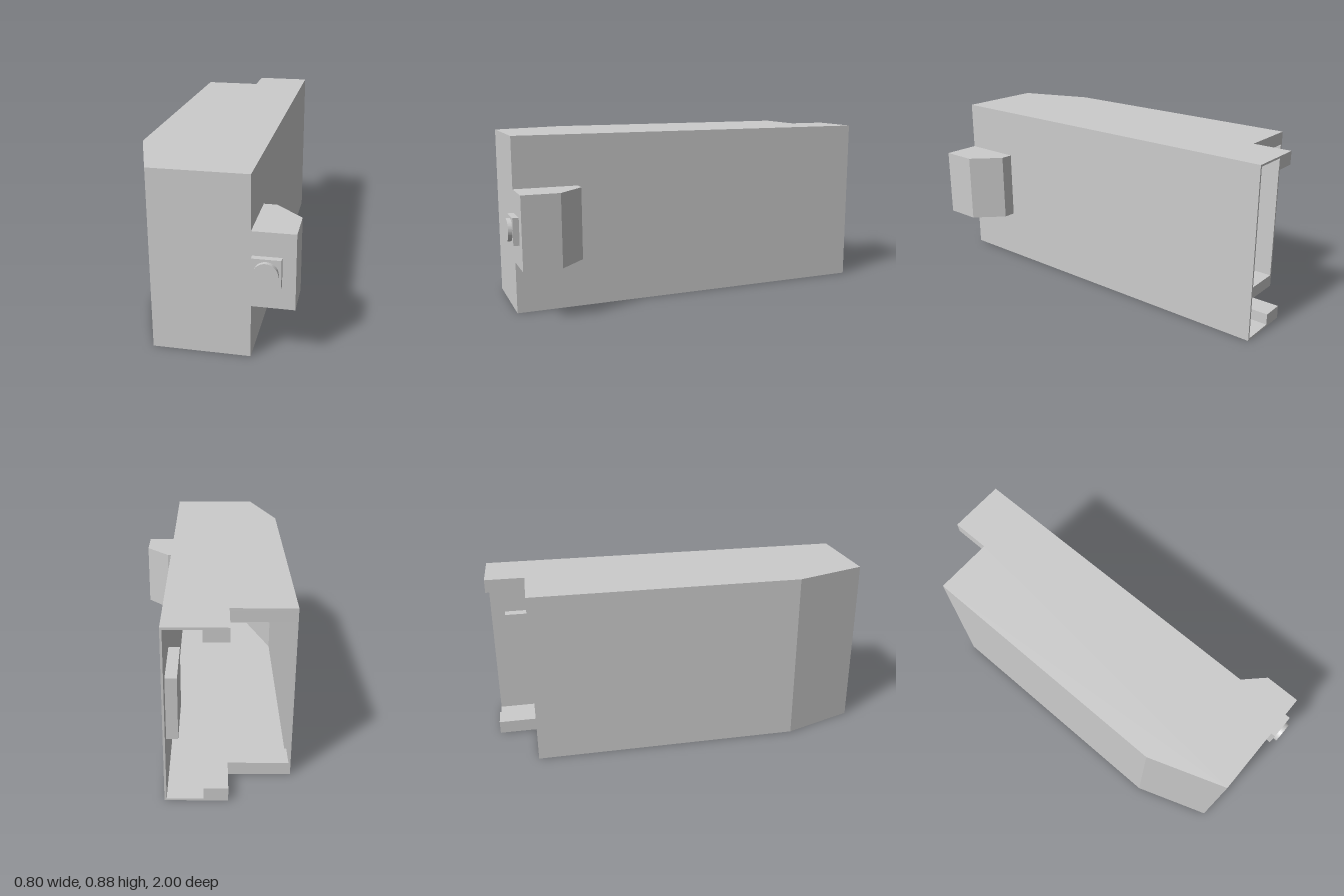
import * as THREE from 'three';

const material = new THREE.MeshStandardMaterial({ color: 0xcccccc, flatShading: true });
const H = 0.885; // housing height
const T = 0.01; // sheet thickness

function add(group, name, geometry) {
  const mesh = new THREE.Mesh(geometry, material);
  mesh.name = name;
  group.add(mesh);
  return mesh;
}

// Vertical prism from a plan outline of [x, z] points between two heights
function prism(points, y0, y1) {
  const shape = new THREE.Shape(points.map(([x, z]) => new THREE.Vector2(x, z)));
  const geometry = new THREE.ExtrudeGeometry(shape, { depth: y1 - y0, bevelEnabled: false });
  return geometry.rotateX(Math.PI / 2).translate(0, y1, 0);
}

// Box given by its minimum and maximum corners
function block([x0, y0, z0], [x1, y1, z1]) {
  return new THREE.BoxGeometry(x1 - x0, y1 - y0, z1 - z0)
    .translate((x0 + x1) / 2, (y0 + y1) / 2, (z0 + z1) / 2);
}

export function createModel() {
  const model = new THREE.Group();
  model.name = 'housing';

  // Top and bottom sheets with a stepped rear edge
  const plan = [
    [-0.4, -0.8], [-0.095, -0.8], [-0.095, -1], [0.2, -1],
    [0.2, 0.95], [-0.265, 0.95], [-0.4, 0.57],
  ];
  add(model, 'bottomPanel', prism(plan, 0, T));
  add(model, 'topPanel', prism(plan, H - T, H));

  // Thin side and front walls, open at the back
  const walls = [
    [0.2, -1], [0.2, 0.95], [-0.265, 0.95], [-0.4, 0.57], [-0.4, -0.8],
    [-0.4 + T, -0.8], [-0.4 + T, 0.568], [-0.258, 0.95 - T], [0.2 - T, 0.95 - T], [0.2 - T, -1],
  ];
  add(model, 'walls', prism(walls, T, H - T));

  // Stiffening lips following the rear step
  const lip = [
    [0.02, -1], [-0.095, -1], [-0.095, -0.8], [-0.4 + T, -0.8], [-0.4 + T, -0.68], [0.02, -0.68],
  ];
  add(model, 'bottomLip', prism(lip, T, 0.067));
  add(model, 'topLip', prism(lip, H - 0.067, H - T));

  // Pad on the inside of the left wall
  add(model, 'innerPad', block([0.135, 0.287, -0.925], [0.2 - T, 0.603, -0.62]));

  // Side pod with a chamfered rear corner
  const pod = [[0.2, 0.625], [0.265, 0.625], [0.4, 0.76], [0.4, 0.95], [0.2, 0.95]];
  add(model, 'sidePod', prism(pod, 0.262, 0.627));

  // Square button base and round button
  add(model, 'buttonBase', block([0.205, 0.378, 0.95], [0.339, 0.512, 0.98]));
  const button = new THREE.CylinderGeometry(0.056, 0.056, 0.02, 48);
  button.rotateX(Math.PI / 2).translate(0.272, 0.445, 0.99);
  add(model, 'button', button);

  return model;
}
